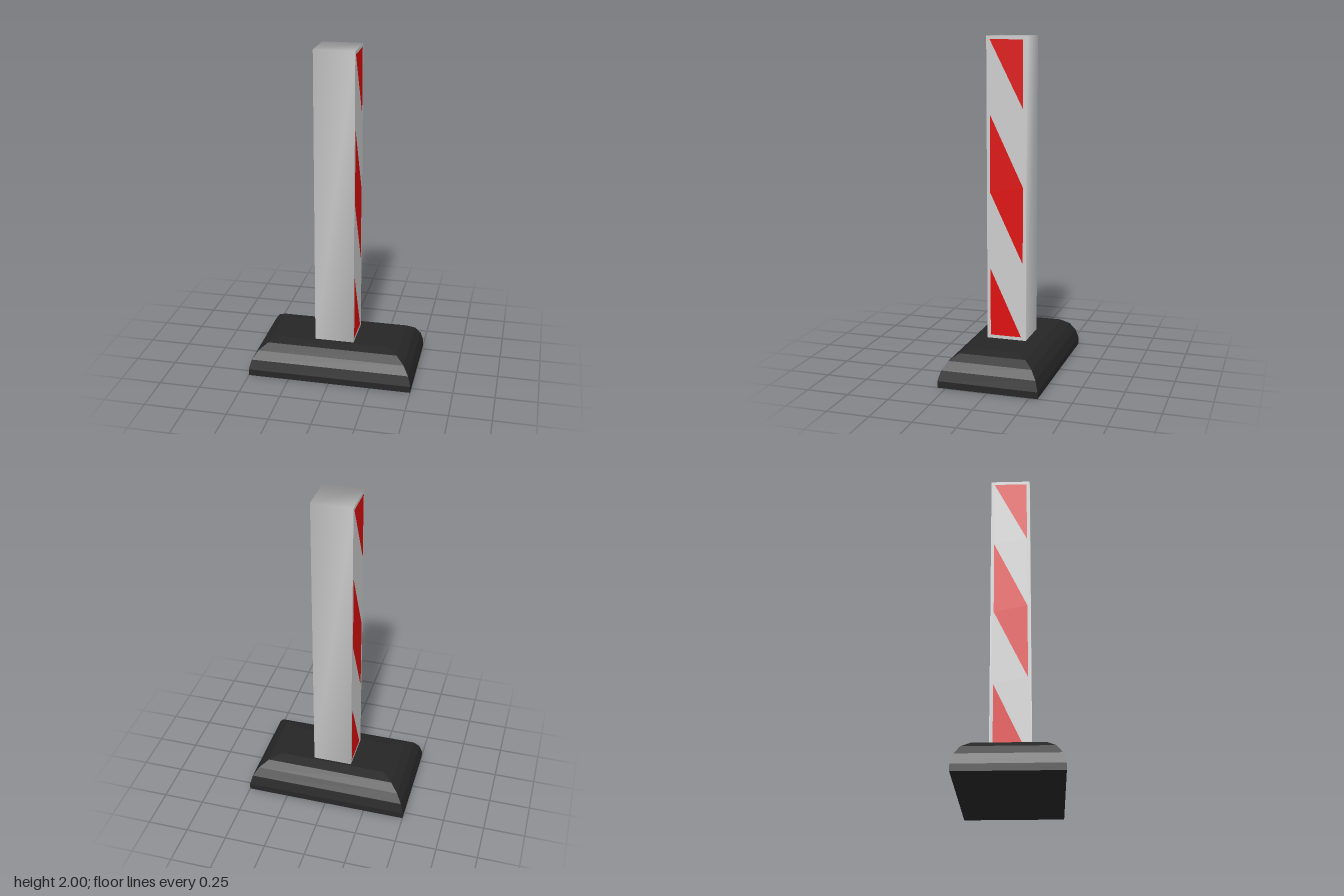
import * as THREE from 'three';
import { mergeVertices } from 'three/addons/utils/BufferGeometryUtils.js';

const W = 0.24, BOTTOM = 0.2, TOP = 2;

// Mitred rectangular base lofted from [inset, height] rings
function baseGeometry() {
  const rings = [[0, 0], [0, 0.04], [0.017, 0.1], [0.05, 0.15], [0.1, 0.185], [0.165, 0.2]]
    .map(([d, y]) => [[1, 1], [1, -1], [-1, -1], [-1, 1]]
      .map(([sx, sz]) => [sx * (0.5 - d), y, sz * (0.3 - d)]));
  const pos = [];
  const quad = (a, b, c, d) => pos.push(...a, ...b, ...c, ...a, ...c, ...d);
  for (let i = 0; i < rings.length - 1; i++) {
    for (let k = 0; k < 4; k++) {
      const n = (k + 1) % 4;
      quad(rings[i][k], rings[i][n], rings[i + 1][n], rings[i + 1][k]);
    }
  }
  quad(...rings[rings.length - 1]);
  quad(...[...rings[0]].reverse());
  const g = new THREE.BufferGeometry();
  g.setAttribute('position', new THREE.Float32BufferAttribute(pos, 3));
  g.computeVertexNormals();
  return g;
}

// Softly shaded square post, its two x faces left open for the striped panels
function postGeometry() {
  let g = new THREE.BoxGeometry(W, TOP - BOTTOM, W);
  g.deleteAttribute('normal');
  g.deleteAttribute('uv');
  g = mergeVertices(g);
  g.computeVertexNormals();
  g.setIndex(Array.from(g.index.array).slice(12));
  g.clearGroups();
  return g.translate(0, (TOP + BOTTOM) / 2, 0);
}

export function createModel() {
  const model = new THREE.Group();
  const grey = new THREE.MeshStandardMaterial({ color: 0xcccccc });
  const red = new THREE.MeshStandardMaterial({ color: 0xdd0d0d });
  const black = new THREE.MeshStandardMaterial({ color: 0x262626 });
  const add = (parent, name, geometry, material) => {
    const mesh = new THREE.Mesh(geometry, material);
    mesh.name = name;
    parent.add(mesh);
  };

  add(model, 'base', baseGeometry(), black);
  add(model, 'post', postGeometry(), grey);

  // Slanted stripes as [across, height] outlines
  const stripes = [
    [[-0.1, 1.98], [0.1, 1.98], [0.1, 1.585]],
    [[-0.1, 1.55], [0.1, 1.13], [0.1, 0.67], [-0.1, 1.09]],
    [[-0.1, 0.63], [0.09, 0.22], [-0.1, 0.22]],
  ].map((outline) => outline.map(([x, y]) => new THREE.Vector2(x, y)));

  // Grey face with openings that the red stripes fill flush
  const h = W / 2;
  const face = new THREE.Shape([[-h, BOTTOM], [h, BOTTOM], [h, TOP], [-h, TOP]]
    .map(([x, y]) => new THREE.Vector2(x, y)));
  face.holes = stripes.map((points) => new THREE.Path(points));
  const faceGeometry = new THREE.ShapeGeometry(face);
  const stripeGeometry = new THREE.ShapeGeometry(stripes.map((points) => new THREE.Shape(points)));

  for (const [name, side] of [['left', 1], ['right', -1]]) {
    const panel = new THREE.Group();
    panel.name = name + 'Panel';
    panel.rotation.y = side * Math.PI / 2;
    panel.position.x = side * h;
    add(panel, name + 'Face', faceGeometry, grey);
    add(panel, name + 'Stripes', stripeGeometry, red);
    model.add(panel);
  }
  return model;
}
